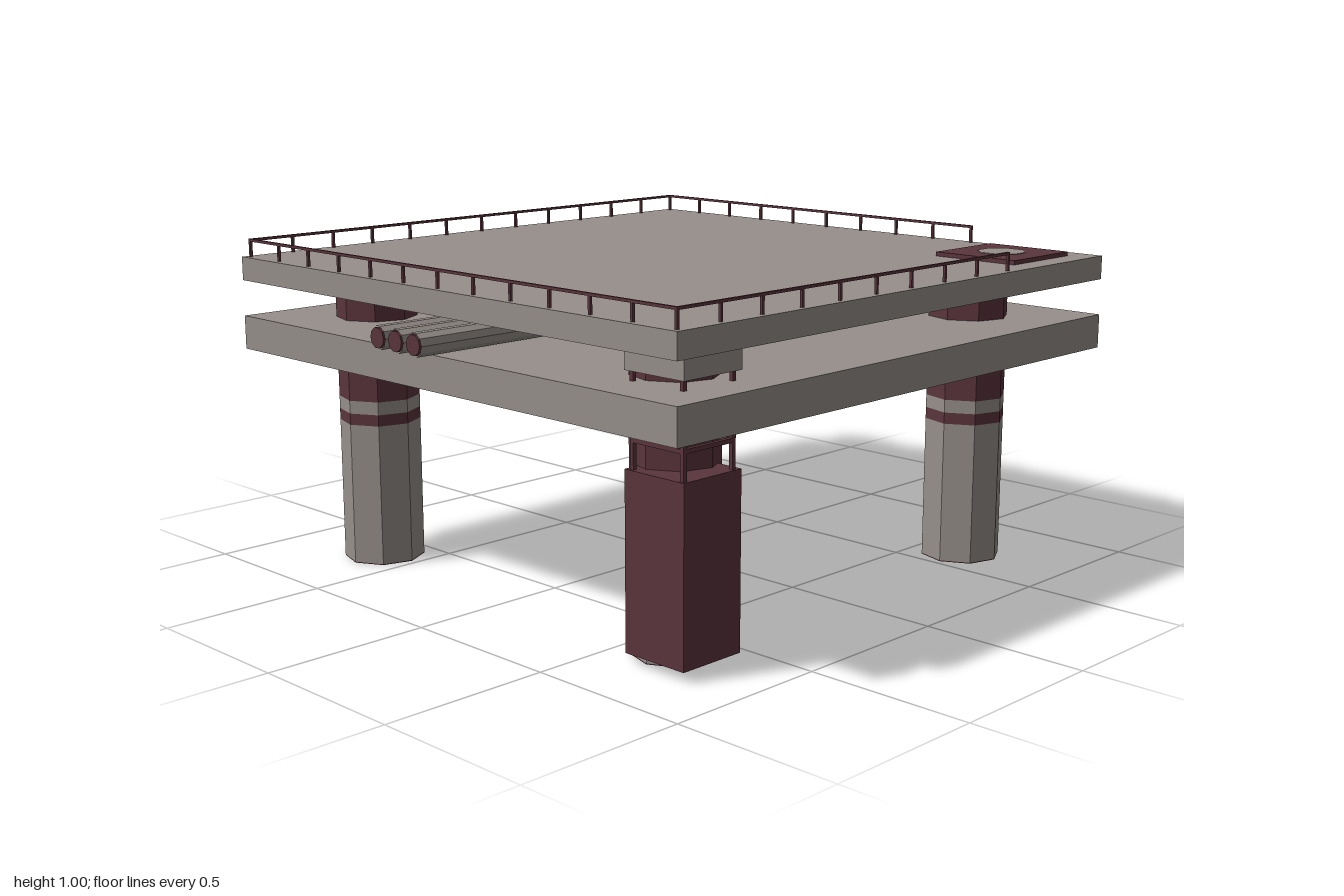
import * as THREE from 'three';

const grey = new THREE.MeshStandardMaterial({ color: 0x968f8b, flatShading: true });
const maroon = new THREE.MeshStandardMaterial({ color: 0x5a353d, flatShading: true });

function add(parent, name, geometry, material, x = 0, y = 0, z = 0) {
  const mesh = new THREE.Mesh(geometry, material);
  mesh.name = name;
  mesh.position.set(x, y, z);
  parent.add(mesh);
  return mesh;
}

// Box given by its minimum and maximum corners
function box(parent, name, material, [x0, y0, z0], [x1, y1, z1]) {
  return add(parent, name, new THREE.BoxGeometry(x1 - x0, y1 - y0, z1 - z0), material,
    (x0 + x1) / 2, (y0 + y1) / 2, (z0 + z1) / 2);
}

function group(parent, name) {
  const g = new THREE.Group();
  g.name = name;
  parent.add(g);
  return g;
}

// Octagonal leg with painted bands and a dark foot
function addLeg(parent, x, z) {
  const leg = group(parent, 'leg');
  leg.position.set(x, 0, z);
  leg.rotation.y = 0.1;
  const bands = [
    ['legFoot', 0, 0.003, maroon], ['legShaft', 0.003, 0.44, grey], ['legStripe', 0.44, 0.475, maroon],
    ['legCollar', 0.475, 0.515, grey], ['legTop', 0.515, 0.88, maroon],
  ];
  for (const [name, y0, y1, material] of bands) {
    add(leg, name, new THREE.CylinderGeometry(0.123, 0.123, y1 - y0, 8), material, 0, (y0 + y1) / 2, 0);
  }
}

// Railing run from a to b along one edge, with evenly spaced posts
function addRailing(parent, a, b, spans) {
  const rail = group(parent, 'railing');
  const t = 0.004;
  box(rail, 'handrail', maroon,
    [Math.min(a[0], b[0]) - t, 0.992, Math.min(a[1], b[1]) - t],
    [Math.max(a[0], b[0]) + t, 1.0, Math.max(a[1], b[1]) + t]);
  for (let i = 0; i <= spans; i++) {
    const x = a[0] + (b[0] - a[0]) * i / spans;
    const z = a[1] + (b[1] - a[1]) * i / spans;
    box(rail, 'railPost', maroon, [x - t, 0.94, z - t], [x + t, 0.995, z + t]);
  }
}

// Pipe running in from the side and bending down into the lower deck
function addPipe(parent, side, z) {
  const pipe = group(parent, 'pipe');
  const path = new THREE.CurvePath();
  const p = (x, y) => new THREE.Vector3(side * x, y, z);
  path.add(new THREE.LineCurve3(p(0.998, 0.8), p(0.31, 0.8)));
  path.add(new THREE.QuadraticBezierCurve3(p(0.31, 0.8), p(0.265, 0.8), p(0.235, 0.765)));
  path.add(new THREE.LineCurve3(p(0.235, 0.765), p(0.2, 0.72)));
  add(pipe, 'pipeBody', new THREE.TubeGeometry(path, 40, 0.035, 10), grey);
  const cap = add(pipe, 'pipeEnd', new THREE.CylinderGeometry(0.03, 0.03, 0.01, 10), maroon, side * 0.995, 0.8, z);
  cap.rotation.z = Math.PI / 2;
}

export function createModel() {
  const model = new THREE.Group();
  model.name = 'platform';

  // Two stacked decks
  box(model, 'lowerDeck', grey, [-0.93, 0.66, -0.93], [0.93, 0.763, 0.93]);
  box(model, 'upperDeck', grey, [-0.93, 0.873, -0.93], [0.93, 0.945, 0.93]);

  for (const x of [-0.643, 0.643]) for (const z of [-0.643, 0.643]) addLeg(model, x, z);

  // Railings, open at the landing pad corner
  const r = 0.91, open = 0.455;
  addRailing(model, [-r, -r], [r, -r], 12);
  addRailing(model, [-r, -r], [-r, r], 12);
  addRailing(model, [-r, r], [open, r], 9);
  addRailing(model, [r, -r], [r, open], 9);

  // Square pad with an octagonal centre
  box(model, 'pad', maroon, [0.57, 0.94, 0.57], [0.855, 0.958, 0.855]);
  const centre = add(model, 'padCentre', new THREE.CylinderGeometry(0.075, 0.075, 0.018, 8), grey, 0.712, 0.951, 0.712);
  centre.rotation.y = Math.PI / 8;

  for (const side of [-1, 1]) for (const z of [0, -0.08, -0.16]) addPipe(model, side, z);

  // Lift shaft around the front leg: cabinet, open frame and head box
  const lift = group(model, 'lift');
  box(lift, 'liftCabinet', maroon, [-0.8, 0.03, 0.613], [-0.587, 0.53, 0.826]);
  box(lift, 'liftHead', grey, [-0.8, 0.79, 0.613], [-0.587, 0.86, 0.826]);
  const fx = [-0.788, -0.608], fz = [0.633, 0.813], t = 0.006;
  for (const x of fx) {
    for (const z of fz) box(lift, 'liftPost', maroon, [x - t, 0.52, z - t], [x + t, 0.8, z + t]);
    box(lift, 'liftSideBar', maroon, [x - t, 0.602, fz[0]], [x + t, 0.614, fz[1]]);
  }
  for (const z of fz) box(lift, 'liftCrossBar', maroon, [fx[0], 0.602, z - t], [fx[1], 0.614, z + t]);

  return model;
}
